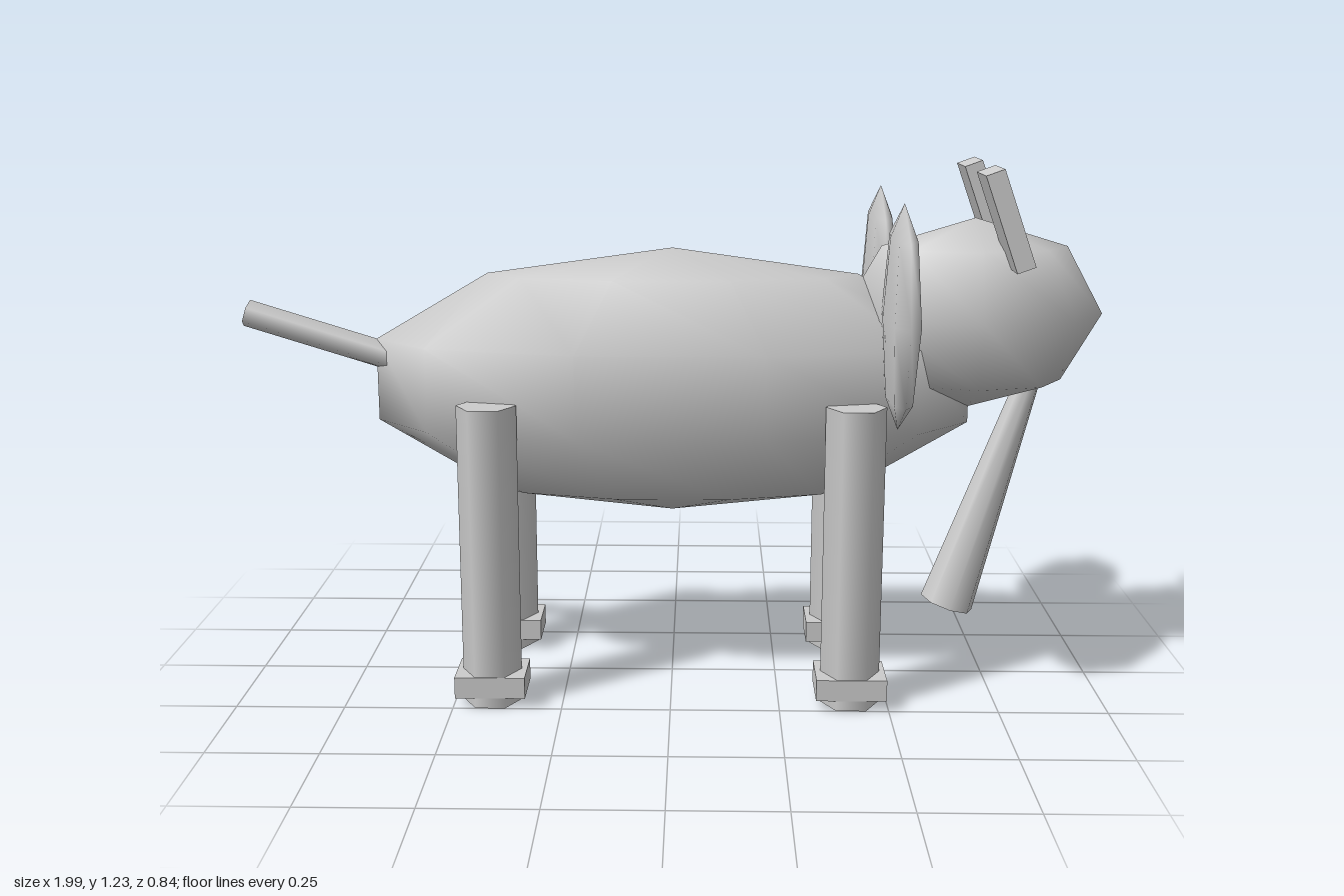
import * as THREE from 'three';

const material = new THREE.MeshStandardMaterial({ color: 0xcccccc });

export function createModel() {
  const model = new THREE.Group();
  model.name = 'elephant';

  function add(name, geometry, x, y, z, tilt = 0) {
    const mesh = new THREE.Mesh(geometry, material);
    mesh.name = name;
    mesh.position.set(x, y, z);
    mesh.rotation.z = tilt;
    model.add(mesh);
    return mesh;
  }

  // Low-poly ellipsoid with its poles up and down
  function ellipsoid(name, columns, rows, x, y, z, rx, ry, rz) {
    add(name, new THREE.SphereGeometry(1, columns, rows), x, y, z).scale.set(rx, ry, rz);
  }

  // Cylinder with a corner pointing along x
  function rod(topRadius, bottomRadius, length, sides) {
    return new THREE.CylinderGeometry(topRadius, bottomRadius, length, sides).rotateY(Math.PI / 2);
  }

  // Body and head
  ellipsoid('body', 10, 5, 0, 0.72, 0, 0.728, 0.312, 0.236);
  ellipsoid('head', 8, 4, 0.692, 0.882, 0, 0.3, 0.22, 0.188);

  // Trunk widens towards its tip and hangs back under the head
  add('trunk', rod(0.025, 0.064, 0.62, 8), 0.752, 0.474, 0, -0.3);

  // Tail slants up behind the body
  add('tail', rod(0.032, 0.032, 0.4, 6), -0.802, 0.818, 0, Math.PI / 2 - 0.3);

  for (const side of [1, -1]) {
    const label = side > 0 ? 'front' : 'back';
    // Ears and the upright slabs on the head
    ellipsoid(`${label}SideEar`, 8, 4, 0.5, 0.908, side * 0.237, 0.04, 0.248, 0.183);
    add(`${label}SideHorn`, new THREE.BoxGeometry(0.043, 0.225, 0.123), 0.735, 1.113, side * 0.142, 0.35);

    // Legs with a square cuff just above the ground
    for (const x of [0.414, -0.414]) {
      const part = label + (x > 0 ? 'Fore' : 'Hind');
      add(`${part}Leg`, rod(0.068, 0.068, 0.7, 6), x, 0.35, side * 0.19);
      add(`${part}Foot`, new THREE.BoxGeometry(0.161, 0.05, 0.123), x, 0.05, side * 0.19);
    }
  }

  return model;
}
